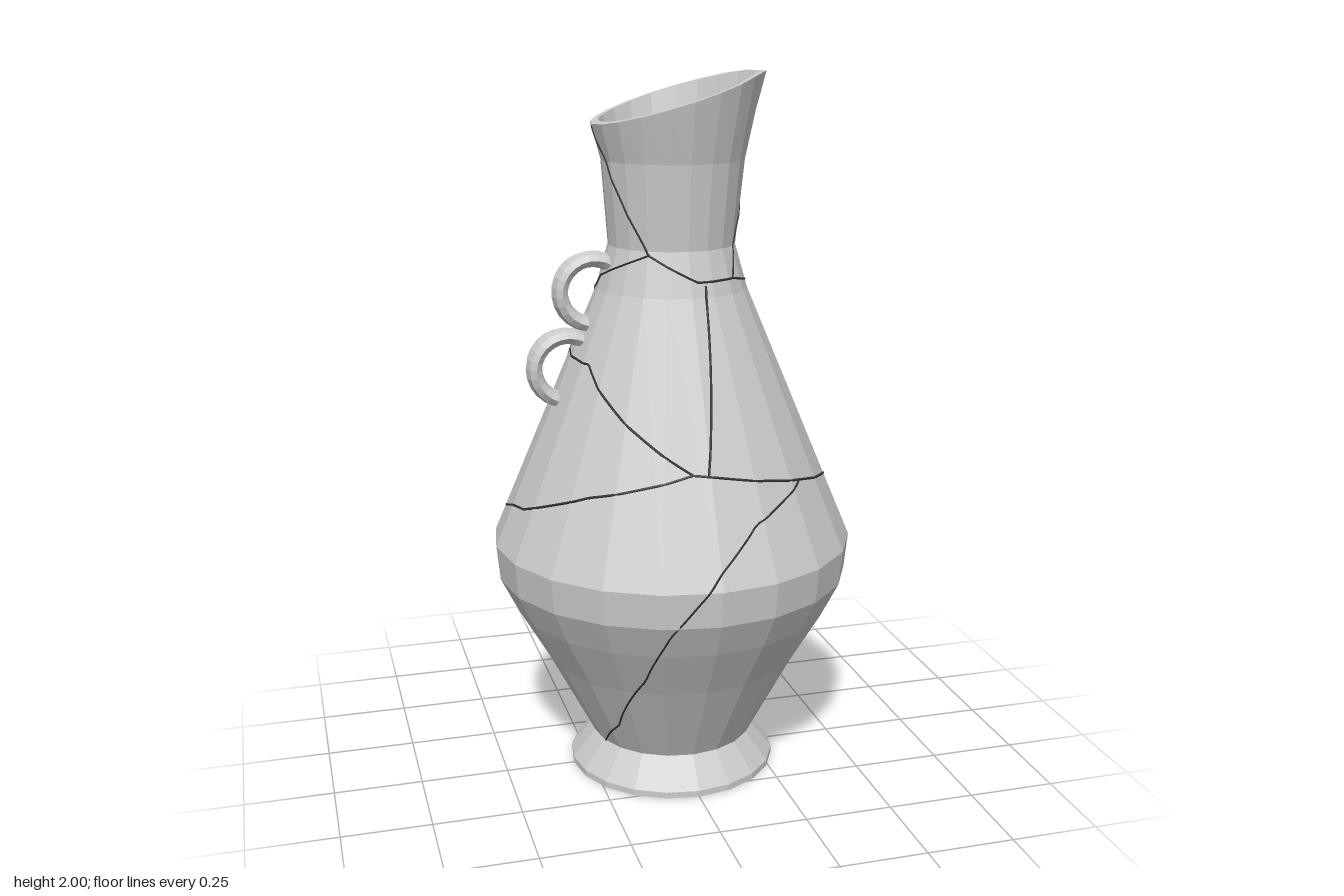
import * as THREE from 'three';

const SIDES = 20;
const STEP = (Math.PI * 2) / SIDES;

// Outer profile [radius, height], foot to rim
const OUTER = [[0.3, 0], [0.3, 0.018], [0.235, 0.1], [0.365, 0.35], [0.452, 0.5], [0.502, 0.6], [0.512, 0.7],
  [0.21, 1.42], [0.176, 1.54], [0.197, 1.77], [0.235, 2]];
// Inner profile, rim to floor
const INNER = [[0.213, 2], [0.174, 1.77], [0.153, 1.54], [0.18, 1.42], [0.478, 0.7], [0.468, 0.6],
  [0.42, 0.5], [0.33, 0.35], [0.17, 0.15], [0.09, 0.11], [0, 0.11]];

// Moves a lathe point: pinches a pouring tip towards +x and slants the rim
function warp(r, y, a) {
  const c = Math.cos(a);
  const k = Math.max(0, (y - 1.54) / 0.46) ** 2;
  const off = Math.abs(Math.atan2(Math.sin(a), c));
  const tip = Math.max(0, 1 - off / (Math.PI / 6));
  const r2 = r + k * (0.035 * tip - 0.015 * Math.max(0, -c));
  const x = r2 * c;
  const y2 = y > 1.9 ? Math.min(2, 1.866 + 0.3 * (x + 0.22)) : y;
  return new THREE.Vector3(x, y2, r2 * Math.sin(a));
}

// Point on the faceted outer wall at an angle (0 = +x, 90 = front) and height
function onWall(deg, y) {
  const u = THREE.MathUtils.degToRad(deg) / STEP;
  const i = Math.floor(u);
  const ring = ([r, h]) => warp(r, h, i * STEP).lerp(warp(r, h, (i + 1) * STEP), u - i);
  for (let j = 1; j < OUTER.length; j++) {
    const lo = ring(OUTER[j - 1]);
    const hi = ring(OUTER[j]);
    if (y <= hi.y || j === OUTER.length - 1) {
      return lo.lerp(hi, THREE.MathUtils.clamp((y - lo.y) / (hi.y - lo.y), 0, 1));
    }
  }
}

// Crack lines as [angle, height] stops
const CRACKS = {
  bellyCrack: [[-90, 0.69], [-35, 0.72], [-15, 0.775], [10, 0.87], [48, 0.925], [90, 0.98], [97, 0.985],
    [137, 0.915], [170, 0.83], [180, 0.82], [215, 0.73], [235, 0.7], [270, 0.69]],
  frontLowerCrack: [[48, 0.925], [75, 0.85], [90, 0.745], [105, 0.58], [116, 0.4], [137, 0.2], [160, 0.1]],
  sideLowerCrack: [[-15, 0.775], [-30, 0.68], [-38, 0.49], [-54, 0.3], [-80, 0.1], [-80, 0.02]],
  neckCrack: [[186, 1.86], [165, 1.74], [125, 1.53], [84, 1.46], [48, 1.46], [0, 1.43], [-70, 1.4],
    [-120, 1.4], [-155, 1.4], [-180, 1.46], [-235, 1.53]],
  spoutCrack: [[48, 1.46], [27, 1.58], [0, 1.7], [-27, 1.85], [-50, 1.97]],
  frontShoulderCrack: [[78, 1.45], [91, 0.98]],
  leftShoulderCrack: [[97, 0.985], [157, 1.235], [200, 1.24]],
  backShoulderCrack: [[205, 1.4], [200, 1.24], [245, 0.7]],
};

function crack(stops) {
  const pts = [];
  for (let s = 1; s < stops.length; s++) {
    const [a0, y0] = stops[s - 1];
    const [a1, y1] = stops[s];
    const n = Math.max(2, Math.ceil(Math.abs(a1 - a0) / 4), Math.ceil(Math.abs(y1 - y0) / 0.05));
    for (let i = s === 1 ? 0 : 1; i <= n; i++) {
      pts.push(onWall(a0 + ((a1 - a0) * i) / n, y0 + ((y1 - y0) * i) / n));
    }
  }
  return new THREE.TubeGeometry(new THREE.CatmullRomCurve3(pts), pts.length * 2, 0.0035, 4);
}

export function createModel() {
  const group = new THREE.Group();
  const clay = new THREE.MeshStandardMaterial({ color: 0xcccccc, flatShading: true });
  const dark = new THREE.MeshStandardMaterial({ color: 0x333333 });
  const add = (name, geometry, material) => {
    const mesh = new THREE.Mesh(geometry, material);
    mesh.name = name;
    group.add(mesh);
    return mesh;
  };

  // Hollow body: one lathe running up the outside and down the inside
  const profile = [[0, 0], ...OUTER, ...INNER].map(([r, y]) => new THREE.Vector2(r, y));
  const body = new THREE.LatheGeometry(profile, SIDES);
  const pos = body.attributes.position;
  for (let i = 0; i < pos.count; i++) {
    const [x, y, z] = [pos.getX(i), pos.getY(i), pos.getZ(i)];
    const p = warp(Math.hypot(x, z), y, Math.atan2(z, x));
    pos.setXYZ(i, p.x, p.y, p.z);
  }
  body.computeVertexNormals();
  add('vesselBody', body, clay);

  // Two stacked loops form the handle, wide across z
  for (const [name, x, y, start, end] of [
    ['upperHandleLoop', -0.226, 1.415, 55, 258],
    ['lowerHandleLoop', -0.302, 1.205, 48, 250],
  ]) {
    const span = THREE.MathUtils.degToRad(end - start);
    const loop = new THREE.TorusGeometry(0.09, 0.023, 8, 14, span);
    loop.scale(1, 1, 1.95);
    loop.rotateZ(THREE.MathUtils.degToRad(start));
    loop.translate(x, y, 0);
    add(name, loop, clay);
  }

  // Hairline cracks over the outer wall
  for (const [name, stops] of Object.entries(CRACKS)) add(name, crack(stops), dark);

  return group;
}
